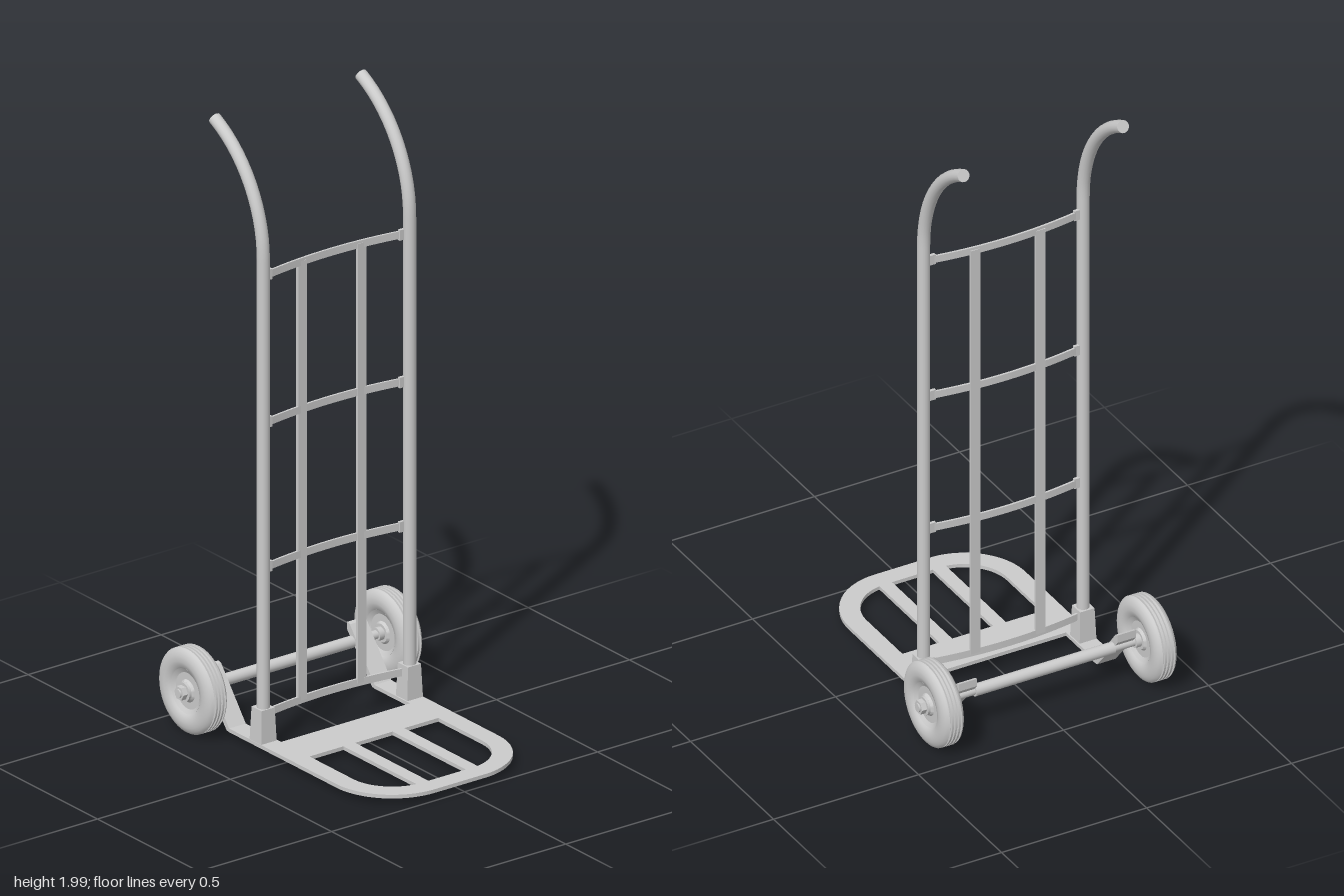
import * as THREE from 'three';
import { toCreasedNormals } from 'three/addons/utils/BufferGeometryUtils.js';

const material = new THREE.MeshStandardMaterial({ color: 0xcccccc });
const AXLE_Y = 0.142, AXLE_Z = -0.36;

function add(parent, name, geometry, x = 0, y = 0, z = 0) {
  const mesh = new THREE.Mesh(geometry, material);
  mesh.name = name;
  mesh.position.set(x, y, z);
  parent.add(mesh);
  return mesh;
}

const box = (w, h, d) => new THREE.BoxGeometry(w, h, d);
const rod = (r, length, sides = 20) => new THREE.CylinderGeometry(r, r, length, sides).rotateZ(Math.PI / 2);

// Flat outline in (x, z) extruded downwards from y = 0
function slab(shape, depth) {
  const g = new THREE.ExtrudeGeometry(shape, { depth, bevelEnabled: false, curveSegments: 16 });
  return toCreasedNormals(g.rotateX(Math.PI / 2), 0.5);
}

// Upright tube that bends backwards into a grip
function handleGeometry() {
  const path = new THREE.CurvePath();
  const R = 0.42, end = 1.125, bend = [];
  for (let i = 0; i <= 10; i++) {
    const a = (end * i) / 10;
    bend.push(new THREE.Vector3(0, 1.6 + R * Math.sin(a), -0.12 - R * (1 - Math.cos(a))));
  }
  path.add(new THREE.LineCurve3(new THREE.Vector3(0, 0.04, -0.12), bend[0]));
  path.add(new THREE.CatmullRomCurve3(bend));
  return new THREE.TubeGeometry(path, 60, 0.02, 16);
}

// U-shaped rim of the toe plate, with legs running back under the frame
function rimShape() {
  const s = new THREE.Shape();
  s.moveTo(0.305, -0.25);
  s.lineTo(0.305, 0.28);
  s.absarc(0.095, 0.28, 0.21, 0, Math.PI / 2, false);
  s.absarc(-0.095, 0.28, 0.21, Math.PI / 2, Math.PI, false);
  s.lineTo(-0.305, -0.25);
  s.lineTo(-0.242, -0.25);
  s.lineTo(-0.242, 0.28);
  s.absarc(-0.095, 0.28, 0.147, Math.PI, Math.PI / 2, true);
  s.absarc(0.095, 0.28, 0.147, Math.PI / 2, 0, true);
  s.lineTo(0.242, -0.25);
  s.closePath();
  return s;
}

// Thin strap bowed towards the back
function rungShape() {
  const s = new THREE.Shape();
  s.moveTo(-0.262, -0.121);
  s.quadraticCurveTo(0, -0.169, 0.262, -0.121);
  s.lineTo(0.262, -0.128);
  s.quadraticCurveTo(0, -0.176, -0.262, -0.128);
  s.closePath();
  return s;
}

// Bent strip that climbs from the plate to the axle
function armGeometry() {
  const s = new THREE.Shape();
  [[0.25, 0.026], [0.262, 0.028], [0.385, 0.172], [0.385, 0.198], [0.372, 0.194], [0.25, 0.038]]
    .forEach(([x, y], i) => (i ? s.lineTo(x, y) : s.moveTo(x, y)));
  return new THREE.ExtrudeGeometry(s, { depth: 0.063, bevelEnabled: false })
    .rotateY(Math.PI / 2).translate(-0.0315, 0, 0);
}

function tyreGeometry() {
  const half = [[0.07, 0.026], [0.078, 0.033], [0.095, 0.038], [0.113, 0.037], [0.125, 0.032], [0.133, 0.026]];
  const points = half.map(([r, a]) => [r, -a]);
  // Tread grooves
  for (const a of [-0.018, -0.006, 0.006, 0.018]) {
    points.push([0.136, a - 0.003], [0.129, a - 0.002], [0.129, a + 0.002], [0.136, a + 0.003]);
  }
  points.push(...half.reverse());
  const g = new THREE.LatheGeometry(points.map(([r, a]) => new THREE.Vector2(r, a)), 40);
  return toCreasedNormals(g.rotateZ(Math.PI / 2), 0.6);
}

function hubGeometry() {
  const half = [[0.001, 0.028], [0.03, 0.028], [0.036, 0.02], [0.058, 0.02], [0.072, 0.028]];
  const points = [...half.map(([r, a]) => [r, -a]), ...half.reverse()];
  const g = new THREE.LatheGeometry(points.map(([r, a]) => new THREE.Vector2(r, a)), 32);
  return toCreasedNormals(g.rotateZ(Math.PI / 2), 0.5);
}

export function createModel() {
  const model = new THREE.Group();
  model.name = 'handTruck';

  const frame = new THREE.Group();
  frame.name = 'frame';
  frame.position.x = -0.01;
  model.add(frame);

  // Toe plate
  add(frame, 'toePlateRim', slab(rimShape(), 0.012), 0, 0.038);
  add(frame, 'toePlateCross', box(0.484, 0.012, 0.14), 0, 0.032, -0.005);

  // Rungs across the back
  for (const y of [0.12, 0.595, 1.065, 1.545]) {
    add(frame, 'rung', slab(rungShape(), 0.024), 0, y + 0.012);
  }

  const handle = handleGeometry(), arm = armGeometry();
  for (const side of [-1, 1]) {
    add(frame, 'toePlateSlat', box(0.044, 0.012, 0.365), side * 0.0925, 0.032, 0.247);
    add(frame, 'backStrip', box(0.033, 1.43, 0.01), side * 0.112, 0.833, -0.145);
    add(frame, 'handleTube', handle, side * 0.275);
    add(frame, 'gripEnd', new THREE.CylinderGeometry(0.02, 0.02, 0.006, 16).rotateX(-1.125),
      side * 0.275, 1.978, -0.358);
    add(frame, 'axleArm', arm, side * 0.2735);

    // Tapered socket holding the foot of the tube
    const socket = new THREE.CylinderGeometry(0.035, 0.041, 0.108, 4, 1).rotateY(Math.PI / 4);
    add(frame, 'tubeSocket', toCreasedNormals(socket, 0.5), side * 0.275, 0.091, -0.121);

    // Flared rung ends
    for (const y of [0.595, 1.065, 1.545]) {
      add(frame, 'rungEnd', box(0.022, 0.034, 0.01), side * 0.25, y, -0.126);
    }
  }

  // Axle and wheels
  add(model, 'axle', rod(0.019, 0.48), -0.01, AXLE_Y, AXLE_Z);
  add(model, 'axleCore', rod(0.014, 0.85), 0, AXLE_Y, AXLE_Z);
  const tyre = tyreGeometry(), hub = hubGeometry();
  for (const side of [-1, 1]) {
    const wheel = new THREE.Group();
    wheel.name = side > 0 ? 'leftWheel' : 'rightWheel';
    wheel.position.set(side * 0.367, AXLE_Y, AXLE_Z);
    model.add(wheel);
    add(wheel, 'tyre', tyre);
    add(wheel, 'hub', hub);
    add(wheel, 'innerCollar', rod(0.021, 0.02), side * -0.036);
    add(wheel, 'washer', rod(0.03, 0.008), side * 0.032);
    add(wheel, 'nut', toCreasedNormals(rod(0.023, 0.018, 6), 0.5), side * 0.044);
  }
  return model;
}
